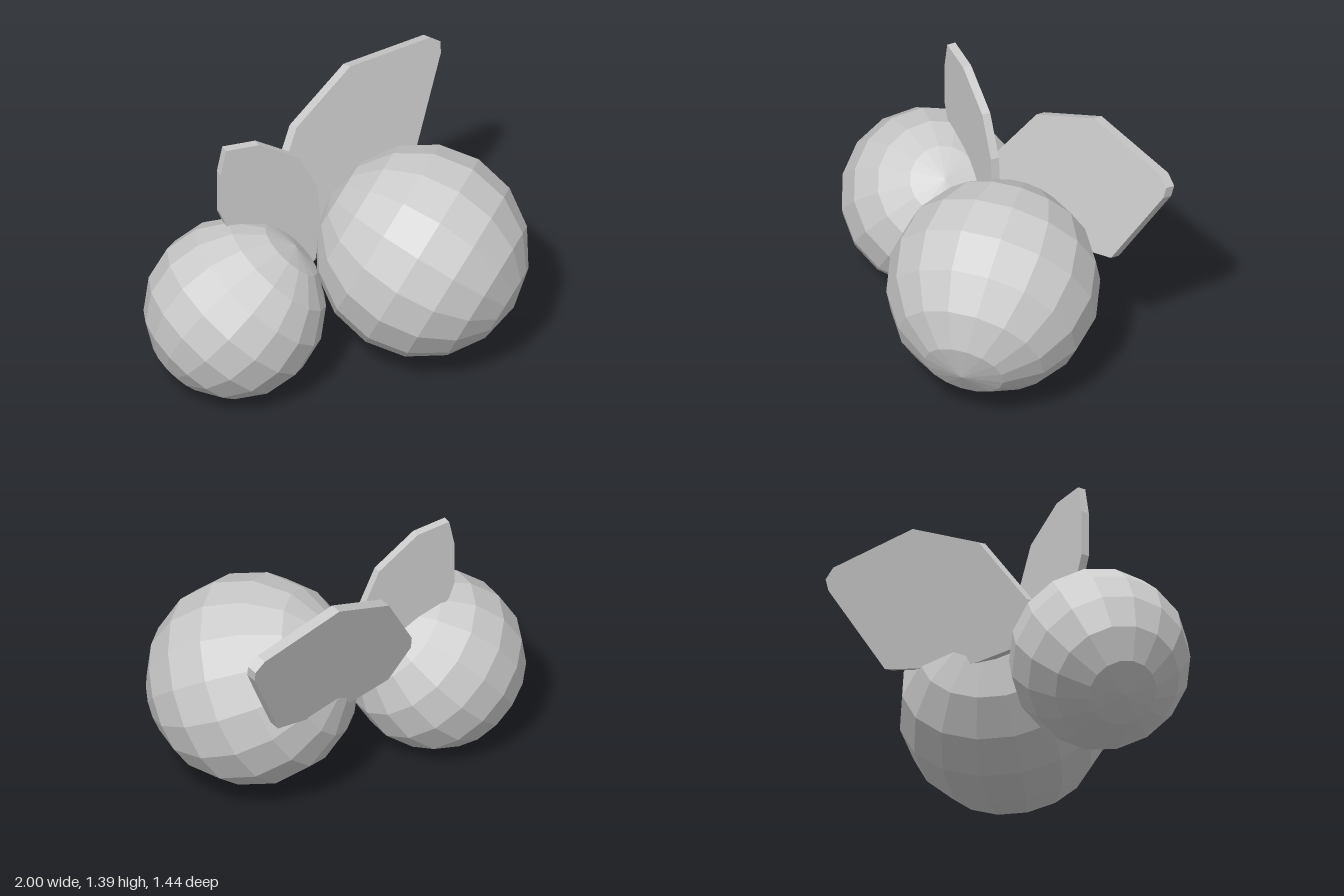
import * as THREE from 'three';

const material = new THREE.MeshStandardMaterial({ color: 0xcccccc, flatShading: true });

// Faceted berry whose poles lie along the given axis
function berry(name, radius, center, axis) {
  const mesh = new THREE.Mesh(new THREE.SphereGeometry(radius, 16, 8), material);
  mesh.name = name;
  mesh.position.set(...center);
  mesh.quaternion.setFromUnitVectors(
    new THREE.Vector3(0, 1, 0), new THREE.Vector3(...axis).normalize());
  return mesh;
}

// Thick flat leaf: an xy outline laid on the plane z = a + b*x + c*y
function leaf(name, outline, [a, b, c], thickness) {
  const shape = new THREE.Shape(outline.map(([x, y]) => new THREE.Vector2(x, y)));
  const geometry = new THREE.ExtrudeGeometry(shape, { depth: thickness, bevelEnabled: false });
  const normal = new THREE.Vector3(-b, -c, 1).normalize();
  const pos = geometry.attributes.position;
  const p = new THREE.Vector3();
  for (let i = 0; i < pos.count; i++) {
    p.fromBufferAttribute(pos, i);
    const offset = p.z - thickness / 2;
    p.z = a + b * p.x + c * p.y;
    p.addScaledVector(normal, offset);
    pos.setXYZ(i, p.x, p.y, p.z);
  }
  geometry.computeVertexNormals();
  const mesh = new THREE.Mesh(geometry, material);
  mesh.name = name;
  return mesh;
}

export function createModel() {
  const model = new THREE.Group();
  model.name = 'berriesWithLeaves';

  // Berries
  model.add(
    berry('largeBerry', 0.547, [0.455, 0.6, 0.16], [0.76, -0.43, 0.48]),
    berry('smallBerry', 0.465, [-0.54, 0.462, 0.25], [0.685, 0.73, 0]));

  // Leaves
  model.add(
    leaf('largeLeaf', [
      [-0.31, 0.77], [-0.18, 0.62], [0.037, 0.61], [0.3, 0.66], [0.53, 0.73],
      [0.725, 1.21], [0.725, 1.27], [0.67, 1.315], [0.2, 1.375], [-0.13, 1.2], [-0.31, 0.84],
    ], [0.014, -0.535, -0.256], 0.055),
    leaf('smallLeaf', [
      [-0.08, 0.55], [-0.055, 0.8], [-0.07, 1.0], [-0.17, 1.215], [-0.39, 1.365],
      [-0.57, 1.385], [-0.6, 1.24], [-0.6, 1.0], [-0.57, 0.92], [-0.35, 0.65], [-0.14, 0.53],
    ], [0.012, -0.22, 0], 0.045));

  return model;
}
